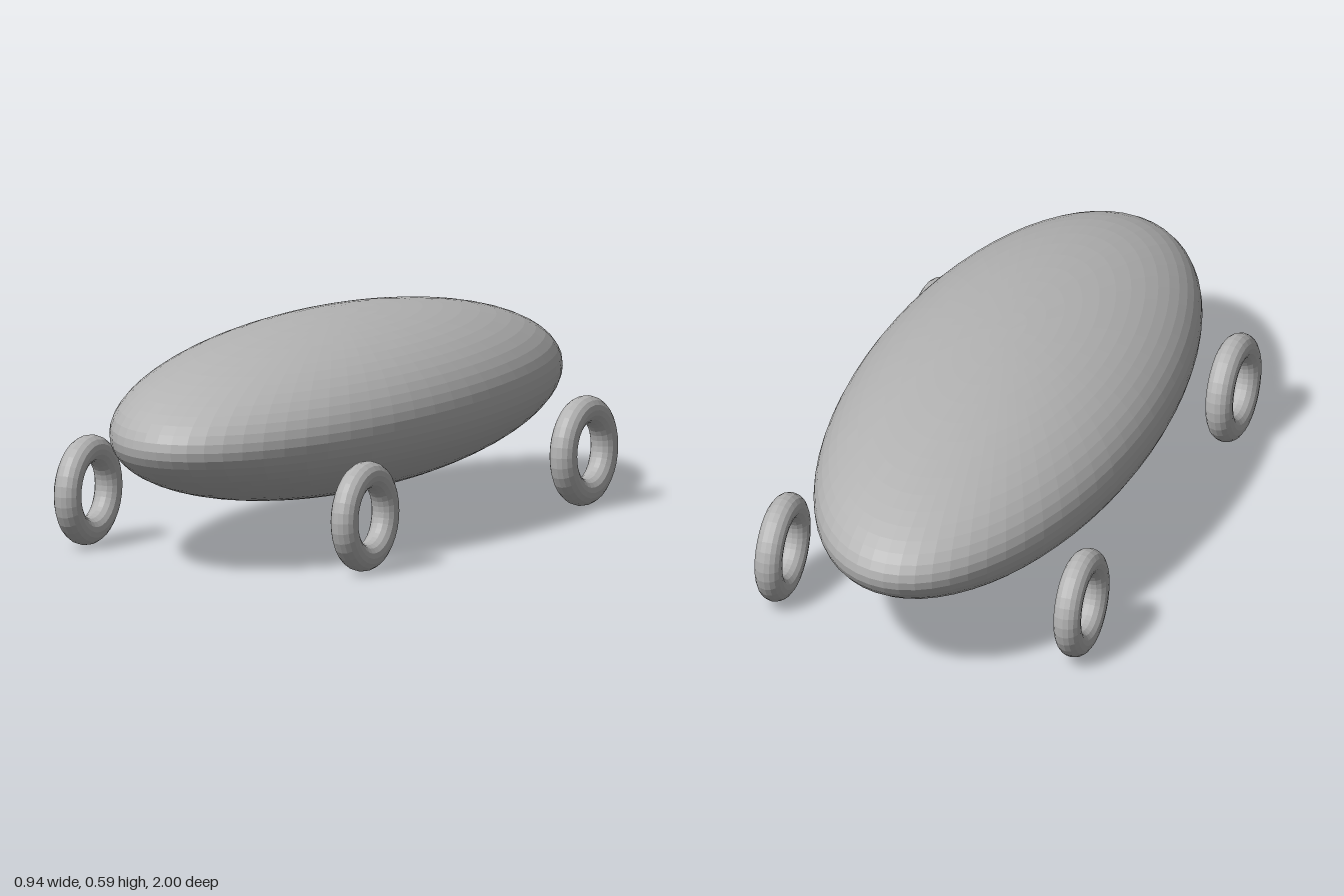
import * as THREE from 'three';

export function createModel() {
  const model = new THREE.Group();
  model.name = 'vehicle';
  const grey = new THREE.MeshStandardMaterial({ color: 0xb3b3b3, flatShading: true });
  grey.name = 'light grey';

  // Long ellipsoid body
  const bodyGeometry = new THREE.SphereGeometry(1, 64, 32);
  bodyGeometry.scale(0.433, 0.238, 1);
  const body = new THREE.Mesh(bodyGeometry, grey);
  body.name = 'body';
  body.position.y = 0.35;
  model.add(body);

  // Four open ring wheels, facing sideways
  const ring = 0.114, tube = 0.038;
  const wheelGeometry = new THREE.TorusGeometry(ring, tube, 16, 32);
  wheelGeometry.rotateY(Math.PI / 2);
  for (const [end, z] of [['front', 0.608], ['back', -0.608]]) {
    for (const [side, x] of [['Left', 0.434], ['Right', -0.434]]) {
      const wheel = new THREE.Mesh(wheelGeometry, grey);
      wheel.name = `${end}${side}Wheel`;
      wheel.position.set(x, ring + tube, z);
      model.add(wheel);
    }
  }
  return model;
}
